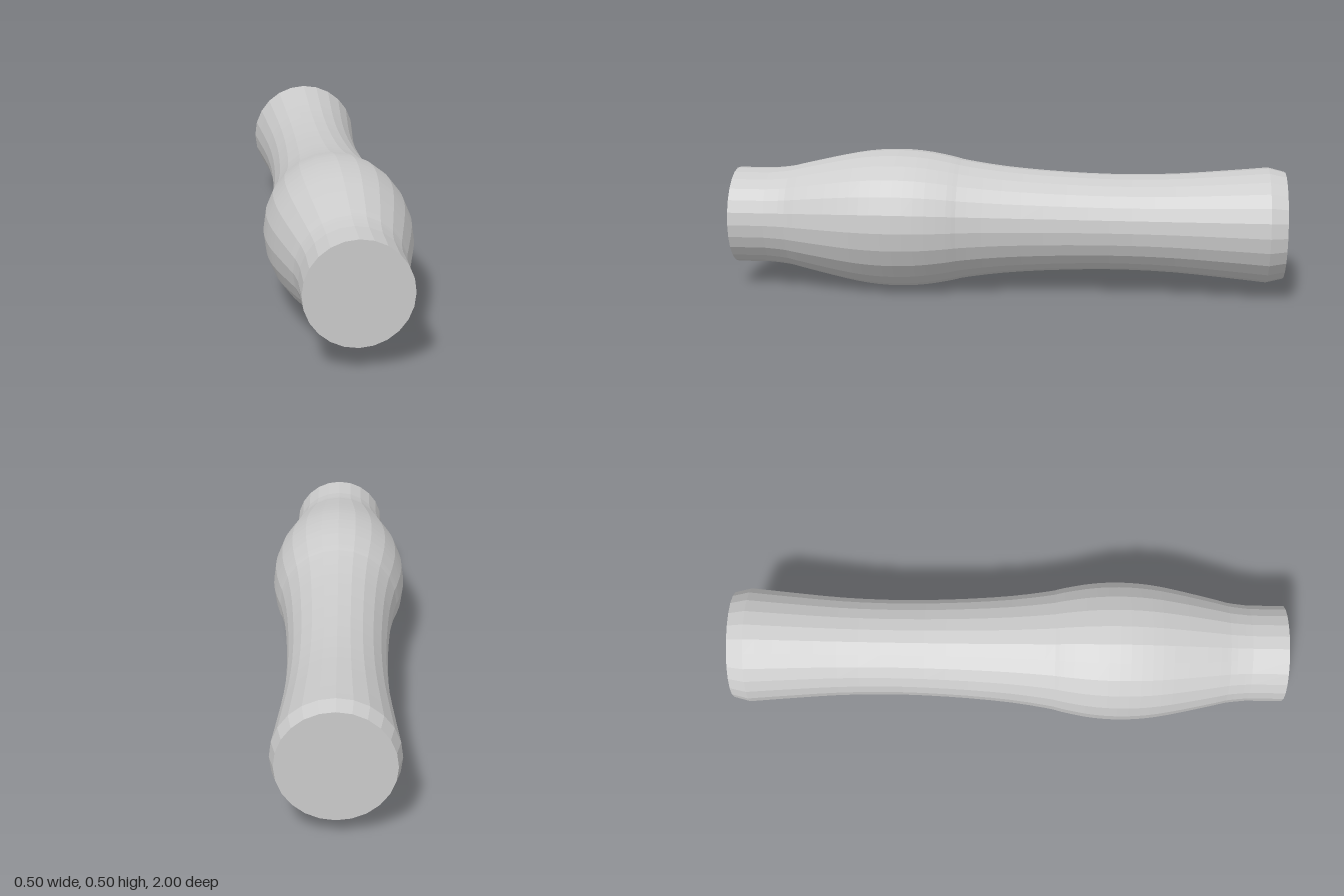
import * as THREE from 'three';

export function createModel() {
  const group = new THREE.Group();
  group.name = 'turnedHandle';
  const material = new THREE.MeshStandardMaterial({ color: 0xcccccc, flatShading: true });

  // Swelling grip and slim waist: radius against position along the axis
  const curve = new THREE.SplineCurve([
    [0.208, -0.94], [0.195, -0.8], [0.179, -0.6], [0.174, -0.4], [0.18, -0.2],
    [0.195, 0], [0.216, 0.15], [0.228, 0.2], [0.246, 0.3], [0.252, 0.4],
    [0.246, 0.5], [0.229, 0.6], [0.195, 0.75], [0.183, 0.8], [0.175, 0.87],
  ].map(([r, z]) => new THREE.Vector2(r, z)));

  // Closed profile with a flat back end, chamfered rim and straight front collar
  const profile = [
    new THREE.Vector2(0, -1),
    new THREE.Vector2(0.193, -1),
    ...curve.getPoints(36),
    new THREE.Vector2(0.175, 1),
    new THREE.Vector2(0, 1),
  ];

  // Turn the profile, then lay the axis along z
  const geometry = new THREE.LatheGeometry(profile, 24);
  geometry.rotateX(Math.PI / 2);
  const handle = new THREE.Mesh(geometry, material);
  handle.name = 'handle';
  handle.position.y = 0.252;
  group.add(handle);
  return group;
}
